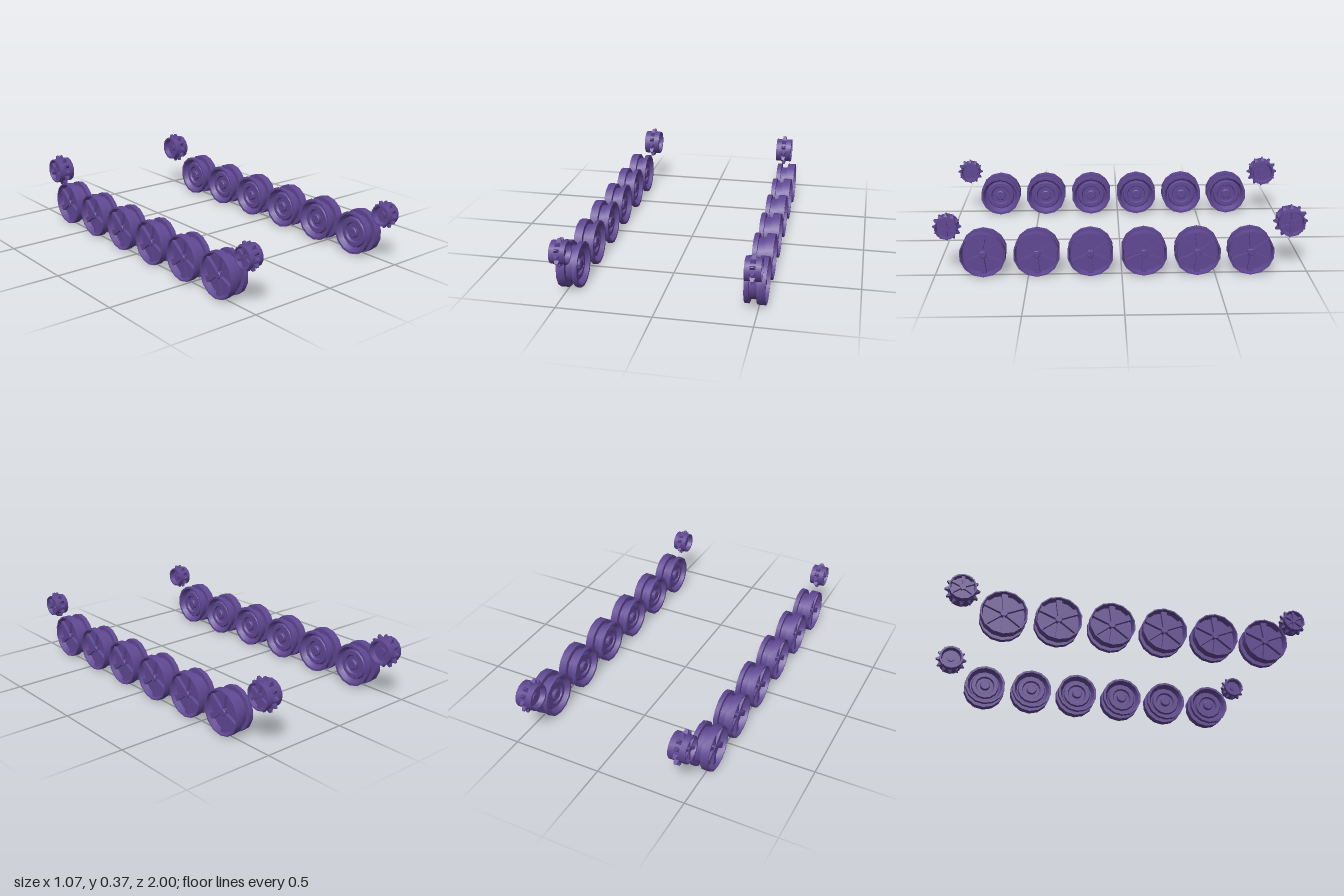
import * as THREE from 'three';
import { mergeGeometries, toCreasedNormals } from 'three/addons/utils/BufferGeometryUtils.js';

const SIDES = 14;
const TEETH = 12;
const material = new THREE.MeshStandardMaterial({ color: 0x5f4792 });

// Closed solid of revolution; profile points are [radius, distance along the axle]
function turned(name, profile) {
  const points = profile.map(([r, t]) => new THREE.Vector2(r, t));
  const geometry = new THREE.LatheGeometry(points, SIDES, Math.PI / SIDES);
  const mesh = new THREE.Mesh(toCreasedNormals(geometry, 0.6), material);
  mesh.name = name;
  return mesh;
}

// Ring of radial blocks: [axial, tangential] sizes at the inner and outer ends
function radialBlocks(name, count, r0, r1, base, tip, axial) {
  const parts = [];
  for (let i = 0; i < count; i++) {
    const block = new THREE.BoxGeometry(r1 - r0, 1, 1);
    const p = block.attributes.position;
    for (let v = 0; v < p.count; v++) {
      const size = p.getX(v) > 0 ? tip : base;
      p.setY(v, p.getY(v) * size[0]);
      p.setZ(v, p.getZ(v) * size[1]);
    }
    block.translate((r0 + r1) / 2, axial, 0);
    block.rotateY((i / count) * Math.PI * 2);
    parts.push(toCreasedNormals(block, 0.3));
  }
  const mesh = new THREE.Mesh(mergeGeometries(parts), material);
  mesh.name = name;
  return mesh;
}

// Road wheel: two rims with a guide groove, stepped inner face, spoked outer dish
function roadWheel() {
  const wheel = new THREE.Group();
  wheel.add(
    turned('wheelBody', [
      [0, 0.437], [0.026, 0.437], [0.03, 0.441], [0.03, 0.457], [0.052, 0.457],
      [0.058, 0.445], [0.08, 0.445], [0.086, 0.457], [0.092, 0.457], [0.1, 0.444],
      [0.108, 0.427], [0.121, 0.427], [0.121, 0.452], [0.098, 0.452], [0.098, 0.492],
      [0.1235, 0.492], [0.1235, 0.537], [0.117, 0.537], [0.11, 0.502], [0.02, 0.502],
      [0.02, 0.522], [0.017, 0.526], [0, 0.526],
    ]),
    radialBlocks('wheelSpokes', 6, 0.014, 0.112, [0.024, 0.009], [0.024, 0.034], 0.508),
  );
  return wheel;
}

// Toothed wheel: drum with a cupped inner face, spoked outer face and a row of teeth
function toothedWheel(r, toothR, inner, outer) {
  const wheel = new THREE.Group();
  const mid = (inner + outer) / 2;
  wheel.add(
    turned('drum', [
      [0, inner + 0.016], [r * 0.3, inner + 0.016], [r * 0.3, inner + 0.028],
      [r * 0.75, inner + 0.028], [r * 0.85, inner], [r, inner],
      [r, outer], [r * 0.9, outer], [r * 0.83, outer - 0.022],
      [r * 0.22, outer - 0.022], [r * 0.22, outer - 0.006], [0, outer - 0.006],
    ]),
    radialBlocks('drumSpokes', 6, r * 0.16, r * 0.86, [0.018, 0.007], [0.018, r * 0.24], outer - 0.017),
    radialBlocks('teeth', TEETH, r * 0.92, toothR, [0.03, r * 0.36], [0.014, r * 0.07], mid),
  );
  return wheel;
}

export function createModel() {
  const model = new THREE.Group();
  model.name = 'runningGear';

  for (const side of [1, -1]) {
    const label = side > 0 ? 'left' : 'right';
    // Turn the axle onto x, pointing outwards on either side
    const place = (wheel, name, y, z) => {
      wheel.rotation.z = -Math.PI / 2;
      const mount = new THREE.Group();
      mount.name = label + name;
      mount.add(wheel);
      mount.rotation.y = side > 0 ? 0 : Math.PI;
      mount.position.set(0, y, z);
      model.add(mount);
    };

    for (let i = 0; i < 6; i++) place(roadWheel(), 'RoadWheel' + (i + 1), 0.1235, 0.739 - i * 0.2858);
    place(toothedWheel(0.06, 0.076, 0.443, 0.525), 'FrontIdler', 0.272, 0.924);
    place(toothedWheel(0.073, 0.093, 0.397, 0.492), 'RearSprocket', 0.272, -0.907);
  }
  return model;
}
